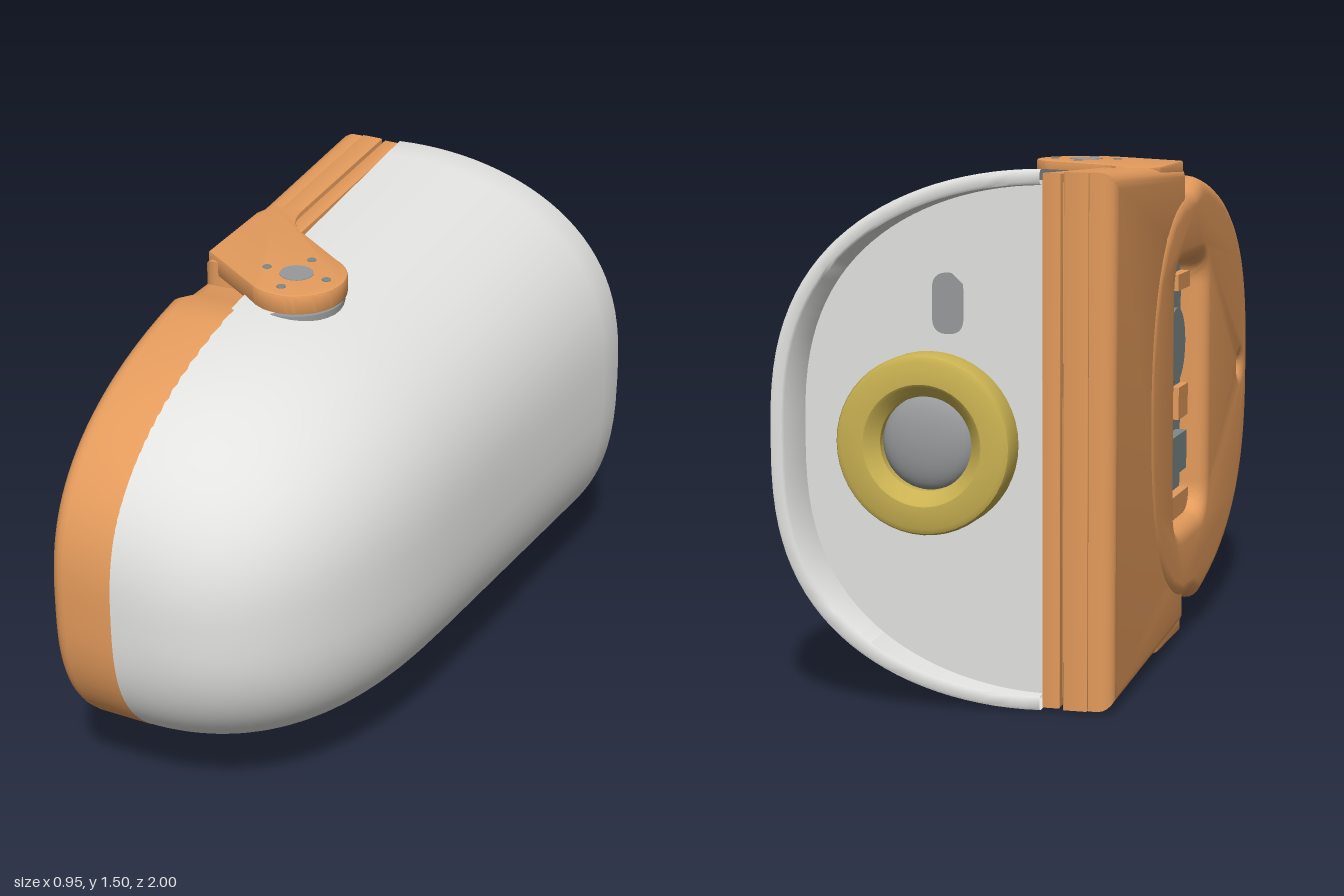
import * as THREE from 'three';
import { toCreasedNormals } from 'three/addons/utils/BufferGeometryUtils.js';

const mat = (name, color, side = THREE.FrontSide) => {
  const m = new THREE.MeshStandardMaterial({ color, side });
  m.name = name;
  return m;
};

// P squares the cross-section towards top and bottom, Q rounds the nose lengthwise
const MID = 0.75, X0 = -0.27, P = 2.7, Q = 2.7;
const pw = (v, e) => Math.sign(v) * Math.abs(v) ** e;
// half height and depth of the domed body at a given z
const nose = z => (1 - Math.max(z, 0) ** Q) ** (1 / Q);
const halfH = z => (0.685 - 0.07 * z) * nose(z);
const depthX = z => (0.69 - 0.06 * z) * nose(z);

// one D-shaped section, inset by d, sheared so the rear rim slants
function section(z, d, n) {
  const pts = [];
  for (let j = 0; j <= n; j++) {
    const a = (j / n - 0.5) * Math.PI;
    const x = X0 + Math.max(depthX(z) - d, 0) * Math.max(Math.cos(a), 0);
    const y = MID + Math.max(halfH(z) - d, 0) * pw(Math.sin(a), 2 / P);
    pts.push([x, y, z < 0 ? z + 0.15 * x * z / 0.93 : z]);
  }
  return pts;
}

function shellGeometry() {
  const n = 56, rows = [];
  for (let i = 0; i <= 32; i++) {
    const a = 1e-5 + (Math.PI / 2 - 1e-5) * (i / 32) ** 1.5;
    rows.push([pw(Math.max(Math.cos(a), 0), 2 / Q), 0]);
  }
  for (let i = 1; i <= 10; i++) rows.push([-0.0915 * i, 0]);
  rows.push([-0.926, 0.004], [-0.93, 0.012], [-0.93, 0.035], [-0.925, 0.042], [-0.78, 0.05]);
  const pos = rows.flatMap(([z, d]) => section(z, d, n).flat());
  const idx = [];
  for (let i = 0; i < rows.length - 1; i++) for (let j = 0; j < n; j++) {
    const a = i * (n + 1) + j, b = a + n + 1;
    idx.push(a, b, a + 1, b, b + 1, a + 1);
  }
  const g = new THREE.BufferGeometry();
  g.setAttribute('position', new THREE.Float32BufferAttribute(pos, 3));
  g.setIndex(idx);
  return toCreasedNormals(g, 0.8);
}

// extrude a (z, y) outline from xIn towards -x, ending at xOut, with rounded edges
function sideExtrude(shape, xIn, xOut, bevel) {
  const g = new THREE.ExtrudeGeometry(shape, {
    depth: xIn - xOut - 2 * bevel, bevelEnabled: true, bevelThickness: bevel, bevelSize: bevel,
    bevelOffset: -bevel, bevelSegments: 5, curveSegments: 16,
  });
  g.translate(0, 0, bevel);
  g.rotateY(-Math.PI / 2);
  g.translate(xIn, 0, 0);
  return toCreasedNormals(g, 0.6);
}

function roundRect(path, x0, y0, x1, y1, r) {
  path.moveTo(x0 + r, y0);
  path.lineTo(x1 - r, y0);
  path.quadraticCurveTo(x1, y0, x1, y0 + r);
  path.lineTo(x1, y1 - r);
  path.quadraticCurveTo(x1, y1, x1 - r, y1);
  path.lineTo(x0 + r, y1);
  path.quadraticCurveTo(x0, y1, x0, y1 - r);
  path.lineTo(x0, y0 + r);
  path.quadraticCurveTo(x0, y0, x0 + r, y0);
  return path;
}

// base cover outline: rounded rear end, nose following the body
function coverShape() {
  const half = [];
  for (let i = 0; i <= 14; i++) {
    const a = Math.PI / 2 * i / 14;
    half.push([0.16 - 0.6 * pw(Math.cos(a), 0.87), 0.63 * pw(Math.sin(a), 0.87)]);
  }
  const end = Math.acos(0.26 ** (Q / 2));
  for (let i = 0; i <= 28; i++) {
    const z = pw(Math.cos(end * (1 - i / 28) ** 1.5), 2 / Q);
    half.push([z, halfH(z) + 0.002]);
  }
  const lower = half.map(([z, h]) => new THREE.Vector2(z, MID - h));
  const upper = half.slice(1, -1).reverse().map(([z, h]) => new THREE.Vector2(z, MID + h));
  const s = new THREE.Shape([...lower, ...upper]);
  s.holes.push(roundRect(new THREE.Path(), -0.1, 0.36, 0.33, 1.16, 0.09));
  s.holes.push(new THREE.Path().absarc(0.86, MID, 0.02, 0, Math.PI * 2, true));
  return s;
}

// rear base outline, tapering forward, notched around the window
function rearShape(d) {
  const p = [[-0.885 + d, -0.742 + d], [0.08 - d, -0.705 + d], [0.08 - d, -0.47 - d], [-0.17 - d, -0.47 - d]];
  const all = [...p, ...p.slice().reverse().map(([z, y]) => [z, -y])];
  return new THREE.Shape(all.map(([z, y]) => new THREE.Vector2(z, y + MID)));
}

// bracket arm outline drawn in (x, -z)
function armShape() {
  const s = new THREE.Shape();
  s.moveTo(-0.455, -0.055);
  s.lineTo(-0.226, -0.204);
  s.absarc(-0.15, -0.075, 0.15, -2.1, 1.1, false);
  s.lineTo(-0.25, 0.175);
  s.quadraticCurveTo(-0.33, 0.22, -0.335, 0.32);
  s.lineTo(-0.43, 0.32);
  s.lineTo(-0.455, 0.25);
  s.closePath();
  return s;
}

export function createModel() {
  const model = new THREE.Group();
  const shellGrey = mat('shell grey', 0xe2e2e0, THREE.DoubleSide);
  const orange = mat('orange', 0xe49b5c);
  const gold = mat('gold', 0xcab252);
  const darkGrey = mat('dark grey', 0x7d8889);
  const midGrey = mat('mid grey', 0x98999a);
  const add = (name, geo, m, x = 0, y = 0, z = 0, parent = model) => {
    const mesh = new THREE.Mesh(geo, m);
    mesh.name = name;
    mesh.position.set(x, y, z);
    parent.add(mesh);
    return mesh;
  };

  // domed body
  add('shell', shellGeometry(), shellGrey);

  // recessed rear panel with a slot
  const outline = section(-0.9, 0.03, 40).map(([x, y]) => new THREE.Vector2(x, y));
  const panel = new THREE.Shape(outline);
  panel.holes.push(roundRect(new THREE.Path(), -0.045, 1.04, 0.045, 1.21, 0.044));
  add('rearPanel', new THREE.ShapeGeometry(panel), shellGrey, 0, 0, -0.86);
  add('slotBack', new THREE.BoxGeometry(0.14, 0.22, 0.02), midGrey, 0, 1.125, -0.8);

  // lens ring and lens
  const ringProfile = [[0.252, 0], [0.252, 0.07], [0.246, 0.083], [0.232, 0.09], [0.17, 0.09],
    [0.162, 0.085], [0.132, 0.05], [0.132, 0]].map(([r, y]) => new THREE.Vector2(r, y));
  const ring = toCreasedNormals(new THREE.LatheGeometry(ringProfile, 48).rotateX(-Math.PI / 2), 0.5);
  add('lensRing', ring, gold, 0.05, 0.74, -0.86);
  const lens = new THREE.SphereGeometry(0.134, 32, 16);
  lens.scale(1, 1, 0.35);
  add('lens', lens, midGrey, 0.05, 0.74, -0.875);

  // base: cover, rear housing, seam core and edge strip
  add('baseCover', sideExtrude(coverShape(), -0.225, -0.475, 0.05), orange);
  add('rearHousing', sideExtrude(rearShape(0), -0.35, -0.464, 0.045).rotateY(0.0156), orange);
  add('housingSide', sideExtrude(rearShape(0), -0.336, -0.405, 0.003), orange);
  add('seamCore', sideExtrude(rearShape(0.03), -0.28, -0.39, 0.005), orange);
  add('edgeStrip', sideExtrude(rearShape(0.003), -0.275, -0.326, 0.004), orange);

  // mechanism seen through the window
  const inner = new THREE.Group();
  inner.name = 'mechanism';
  model.add(inner);
  add('mechanismPlate', new THREE.BoxGeometry(0.02, 0.88, 0.48), darkGrey, -0.38, 0.76, 0.11, inner);
  const disc = new THREE.CylinderGeometry(0.115, 0.115, 0.04, 32).rotateZ(Math.PI / 2);
  add('motorDisc', disc, darkGrey, -0.4, 0.9, 0.15, inner);
  add('orangeBlock', new THREE.BoxGeometry(0.03, 0.1, 0.14), orange, -0.4, 0.71, 0.27, inner);
  add('lowerBracket', new THREE.BoxGeometry(0.05, 0.12, 0.3), darkGrey, -0.4, 0.56, 0.12, inner);
  add('rail', new THREE.BoxGeometry(0.04, 0.05, 0.18), orange, -0.4, 1.09, 0.25, inner);
  add('lowerRail', new THREE.BoxGeometry(0.04, 0.08, 0.4), orange, -0.4, 0.39, 0.12, inner);

  // pivot arms, above and below
  const armGeo = new THREE.ExtrudeGeometry(armShape(), {
    depth: 0.05, bevelEnabled: true, bevelSize: 0.006, bevelThickness: 0.006, bevelOffset: -0.006,
    bevelSegments: 2, curveSegments: 20,
  }).rotateX(-Math.PI / 2);
  const arm = toCreasedNormals(armGeo, 0.5);
  for (const side of [1, -1]) {
    const g = new THREE.Group();
    g.name = side > 0 ? 'upperArm' : 'lowerArm';
    g.position.y = MID;
    model.add(g);
    add('armPlate', arm, orange, 0, side > 0 ? 0.665 : -0.715, 0, g);
    add('pivotCollar', new THREE.CylinderGeometry(0.14, 0.14, 0.04, 32), orange, -0.15, side * 0.663, 0.075, g);
    add('pivotBoss', new THREE.CylinderGeometry(0.148, 0.148, 0.05, 32), midGrey, -0.15, side * 0.632, 0.085, g);
    if (side > 0) {
      add('pivotCap', new THREE.CylinderGeometry(0.05, 0.05, 0.008, 24), midGrey, -0.15, 0.719, 0.075, g);
      for (let i = 0; i < 4; i++) {
        const a = i * Math.PI / 2;
        add('screw', new THREE.CylinderGeometry(0.014, 0.014, 0.008, 12), darkGrey,
          -0.15 + 0.098 * Math.cos(a), 0.719, 0.075 + 0.098 * Math.sin(a), g);
      }
    } else {
      add('pin', new THREE.CylinderGeometry(0.01, 0.01, 0.008, 10), darkGrey, -0.15, -0.719, 0.075, g);
    }
  }
  return model;
}
